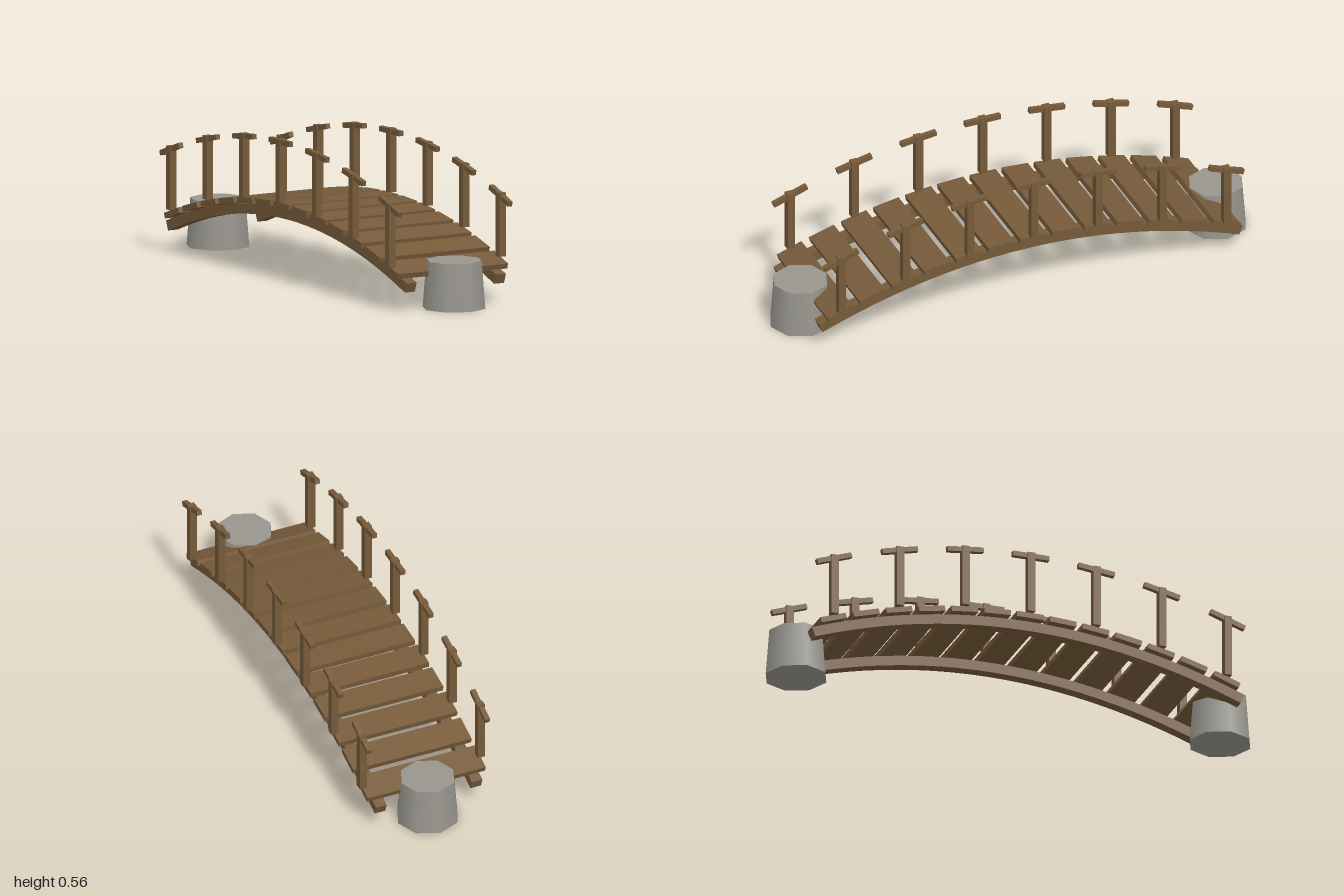
import * as THREE from 'three';

const RISE = 0.213;                               // curvature of the arch
const drop = z => RISE * z * z;                   // how far the arch has fallen at z
const tilt = z => Math.atan(2 * RISE * z);        // pitch of the arch at z

export function createModel() {
  const bridge = new THREE.Group();
  bridge.name = 'footbridge';
  const wood = new THREE.MeshStandardMaterial({ color: 0x765a3a });
  wood.name = 'brown wood';
  const stone = new THREE.MeshStandardMaterial({ color: 0x97958d });
  stone.name = 'grey stone';

  const add = (name, geometry, material, x, y, z, pitch = 0) => {
    const mesh = new THREE.Mesh(geometry, material);
    mesh.name = name;
    mesh.position.set(x, y, z);
    mesh.rotation.x = pitch;
    bridge.add(mesh);
  };

  // Curved side beams: arch outline in (z, y), extruded across x
  const top = [], bottom = [];
  for (let i = 0; i <= 24; i++) {
    const z = -0.885 + (1.77 * i) / 24, a = tilt(z), y = 0.264 - drop(z);
    const dz = 0.02 * Math.sin(a), dy = 0.02 * Math.cos(a);
    top.push(new THREE.Vector2(z + dz, y + dy));
    bottom.unshift(new THREE.Vector2(z - dz, y - dy));
  }
  const beam = new THREE.ExtrudeGeometry(new THREE.Shape([...top, ...bottom]),
    { depth: 0.045, bevelEnabled: false });
  beam.translate(0, 0, -0.0225).rotateY(-Math.PI / 2);
  for (const side of [-1, 1]) add('sideBeam', beam, wood, side * 0.2025, 0, 0);

  // Deck planks, with a post and a short handrail at every second plank
  const plank = new THREE.BoxGeometry(0.5, 0.022, 0.11);
  const post = new THREE.BoxGeometry(0.03, 0.25, 0.03);
  const rail = new THREE.BoxGeometry(0.02, 0.02, 0.15);
  for (let i = -6; i <= 6; i++) {
    const z = i * 0.1353, fall = drop(z), pitch = tilt(z);
    add('deckPlank', plank, wood, 0, 0.299 - fall, z, pitch);
    if (i % 2) continue;
    for (const side of [-1, 1]) {
      add('railPost', post, wood, side * 0.25, 0.4375 - fall, z);
      add('handrail', rail, wood, side * 0.25, 0.55 - fall, z, pitch);
    }
  }

  // Stone footings at both ends
  const footing = new THREE.CylinderGeometry(0.11, 0.125, 0.1875, 8);
  for (const end of [-1, 1]) add('stoneFooting', footing, stone, 0, 0.09375, end * 0.875);

  return bridge;
}
